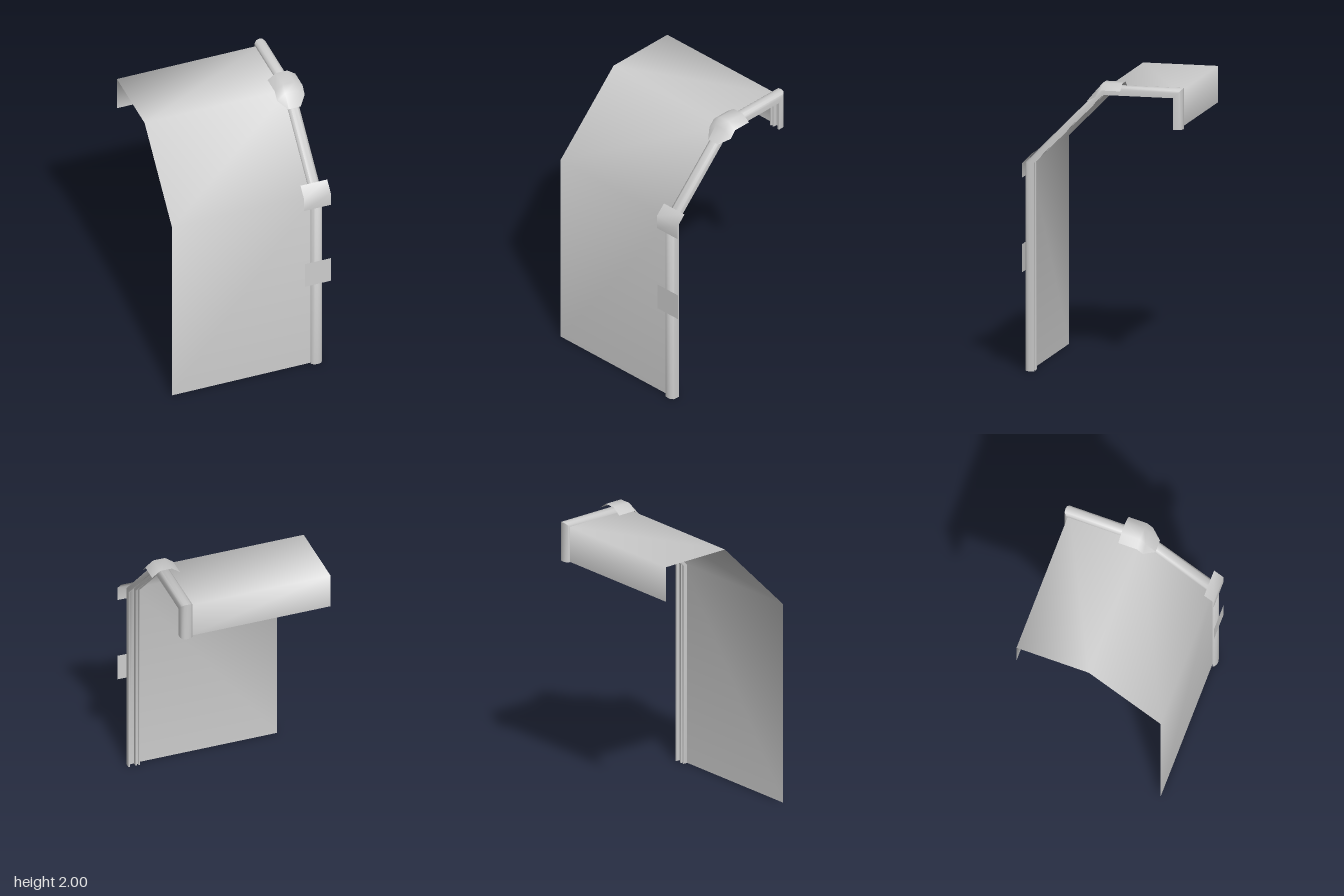
import * as THREE from 'three';
import { toCreasedNormals } from 'three/addons/utils/BufferGeometryUtils.js';

// Bend line shared by sheet and rail: z, y, then the outward offset direction (dz, dy)
const BEND = [
  [0.515, 0, 1, 0],
  [0.515, 1.43, 1, 0],
  [0, 1.95, 0, 1],
  [-0.52, 1.95, -1, 1],
  [-0.52, 1.7, -1, 0],
];

// Surface through rows of [x, y, z] points; optionally closed around and capped
function loft(rows, capOutline) {
  const n = rows[0].length, index = [];
  for (let i = 0; i < rows.length - 1; i++) {
    for (let j = 0; j < (capOutline ? n : n - 1); j++) {
      const k = (j + 1) % n;
      const a = i * n + j, b = i * n + k, c = a + n, d = b + n;
      index.push(a, b, d, a, d, c);
    }
  }
  if (capOutline) {
    const last = (rows.length - 1) * n;
    for (const [a, b, c] of THREE.ShapeUtils.triangulateShape(capOutline, [])) {
      index.push(a, b, c, last + c, last + b, last + a);
    }
  }
  const geometry = new THREE.BufferGeometry();
  geometry.setAttribute('position', new THREE.Float32BufferAttribute(rows.flat(2), 3));
  geometry.setIndex(index);
  geometry.computeVertexNormals();
  return geometry;
}

// Flat strip of constant width following [z, y] points
const strip = (x0, x1, points) => loft(points.map(([z, y]) => [[x0, y, z], [x1, y, z]]));

export function createModel() {
  const group = new THREE.Group();
  const grey = new THREE.MeshStandardMaterial({ color: 0xcccccc, side: THREE.DoubleSide });
  grey.name = 'lightGrey';
  const add = (name, geometry) => {
    const mesh = new THREE.Mesh(geometry, grey);
    mesh.name = name;
    group.add(mesh);
  };

  // Bent cover sheet
  add('sheet', strip(-0.57, 0.47, BEND));

  // Edge rail: rounded front, slot for the sheet, leg and two ribs behind
  const profile = [
    [0.427, 0.004], [0.431, 0.016], [0.446, 0.028], [0.469, 0.031], [0.491, 0.028],
    [0.506, 0.016], [0.511, 0], [0.511, -0.034], [0.499, -0.034], [0.499, -0.005],
    [0.46, -0.005], [0.46, -0.034], [0.45, -0.034], [0.45, -0.018], [0.437, -0.018],
    [0.437, -0.034], [0.427, -0.034], [0.427, -0.004], [0.45, -0.004], [0.45, 0.004],
  ];
  const railRows = BEND.map(([z, y, dz, dy]) => profile.map(([x, d]) => [x, y + d * dy, z + d * dz]));
  const outline = profile.map(([x, d]) => new THREE.Vector2(x, d));
  add('rail', toCreasedNormals(loft(railRows, outline), 0.87));

  // Clip plates on the front of the rail
  add('lowerPlate', strip(0.375, 0.565, [[0.549, 0.687], [0.549, 0.88]]));
  add('bentPlate', strip(0.37, 0.563, [[0.549, 1.335], [0.549, 1.436], [0.482, 1.503]]));

  // Hood over the upper bend: z, half width, rim height, ridge half width, ridge height
  const hood = [
    [-0.135, 0.1, 1.957, 0.042, 2],
    [0, 0.1, 1.957, 0.042, 2],
    [0.042, 0.1, 1.908, 0.042, 1.953],
    [0.112, 0.044, 1.868, 0.04, 1.871],
  ];
  add('hood', loft(hood.map(([z, w, rim, r, top]) =>
    [[-w, rim], [-r, top], [r, top], [w, rim]].map(([x, y]) => [0.47 + x, y, z])).reverse()));

  return group;
}
